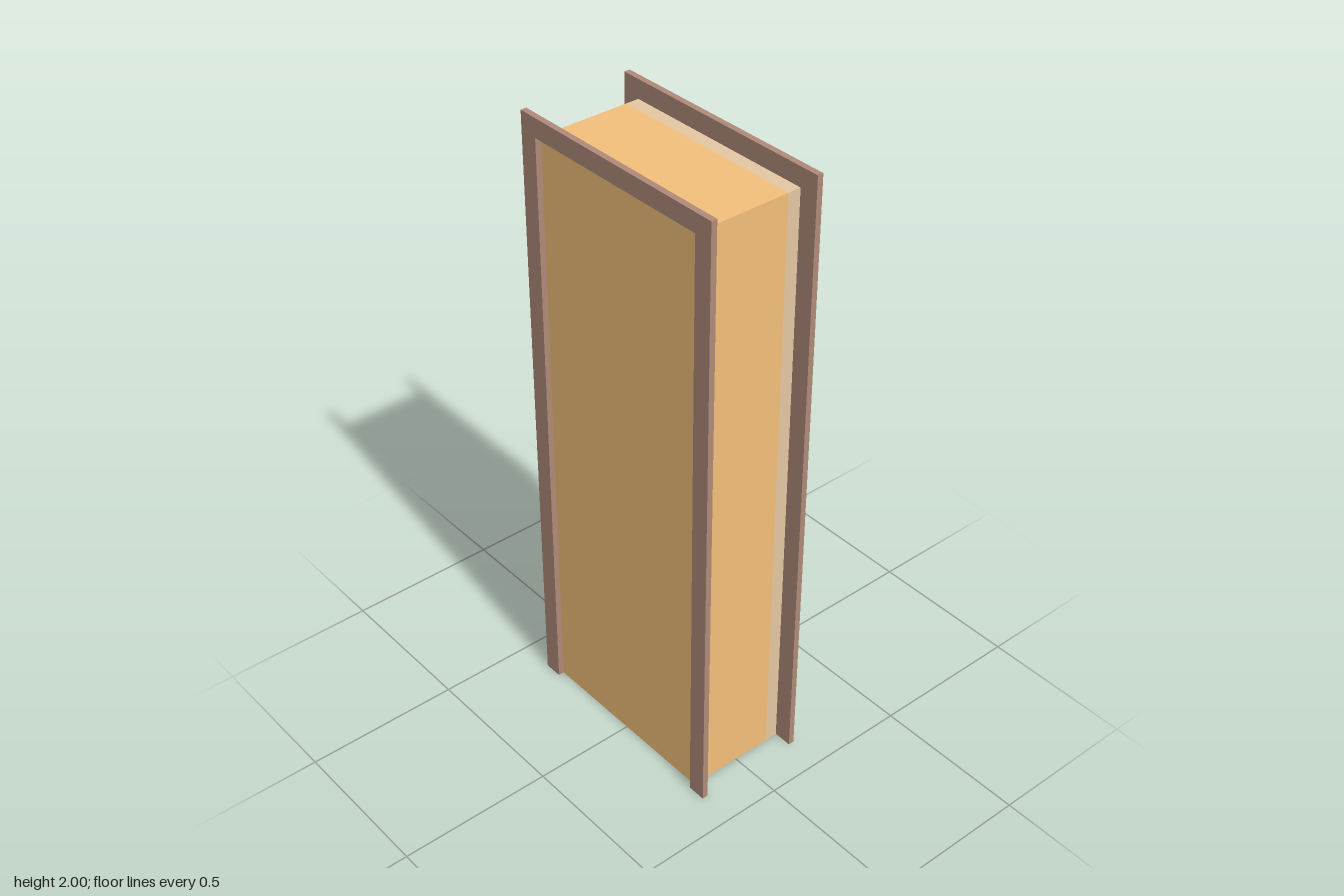
import * as THREE from 'three';

const OPEN_W = 0.65, OPEN_H = 1.94; // door opening
const TRIM_W = 0.06, TRIM_T = 0.019; // trim board width and thickness
const FACE_Z = 0.168; // front and back of the door body
const REBATE_Z = -0.126; // where the back frame begins
const RAIL = 0.083; // width of the back frame members

export function createModel() {
  const model = new THREE.Group();
  const wood = new THREE.MeshStandardMaterial({ color: 0xf4c07b });
  const pale = new THREE.MeshStandardMaterial({ color: 0xe4c8a3 });
  const brown = new THREE.MeshStandardMaterial({ color: 0xb08b79 });

  const add = (name, geometry, material, x, y, z) => {
    const mesh = new THREE.Mesh(geometry, material);
    mesh.name = name;
    mesh.position.set(x, y, z);
    model.add(mesh);
  };
  const outline = (points) => points.map(([x, y]) => new THREE.Vector2(x, y));
  const extrude = (shape, depth) => new THREE.ExtrudeGeometry(shape, { depth, bevelEnabled: false });

  // Solid door body
  const bodyDepth = FACE_Z - REBATE_Z;
  add('doorBody', new THREE.BoxGeometry(OPEN_W, OPEN_H, bodyDepth), wood, 0, OPEN_H / 2, (FACE_Z + REBATE_Z) / 2);

  // Pale frame on the back, with a flush wooden panel inside it
  const w = OPEN_W / 2, pw = w - RAIL;
  const frame = new THREE.Shape(outline([[-w, 0], [w, 0], [w, OPEN_H], [-w, OPEN_H]]));
  frame.holes.push(new THREE.Path(outline([
    [-pw, RAIL], [-pw, OPEN_H - RAIL], [pw, OPEN_H - RAIL], [pw, RAIL],
  ])));
  const frameDepth = FACE_Z + REBATE_Z;
  add('backFrame', extrude(frame, frameDepth), pale, 0, 0, -FACE_Z);
  add('backPanel', new THREE.BoxGeometry(pw * 2, OPEN_H - RAIL * 2, frameDepth), wood,
    0, OPEN_H / 2, -FACE_Z + frameDepth / 2);

  // Three-sided trim standing proud of both faces
  const o = w + TRIM_W, top = OPEN_H + TRIM_W;
  const trim = extrude(new THREE.Shape(outline([
    [-o, 0], [-w, 0], [-w, OPEN_H], [w, OPEN_H], [w, 0], [o, 0], [o, top], [-o, top],
  ])), TRIM_T);
  add('frontTrim', trim, brown, 0, 0, FACE_Z);
  add('backTrim', trim, brown, 0, 0, -FACE_Z - TRIM_T);

  return model;
}
